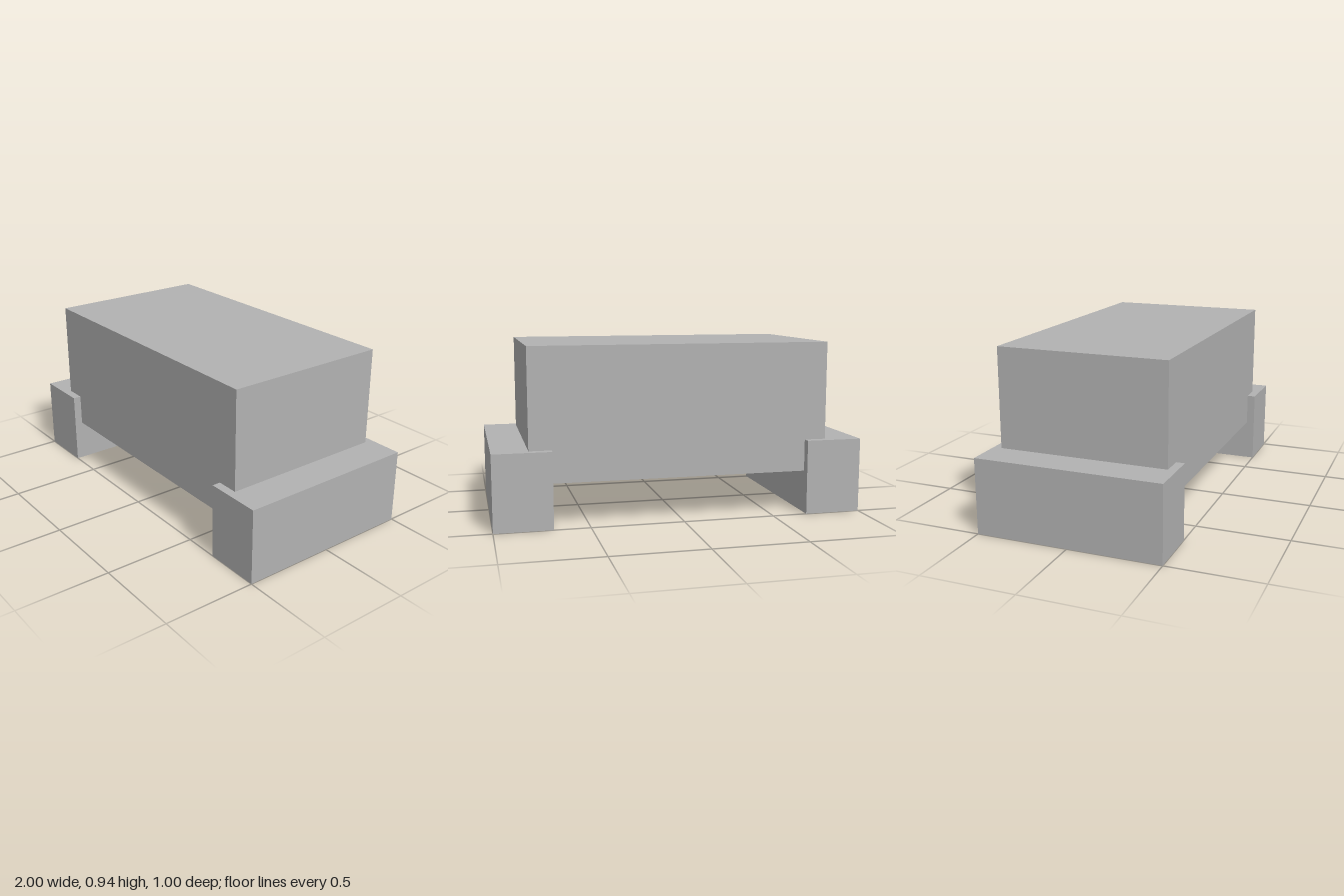
import * as THREE from 'three';

export function createModel() {
  const model = new THREE.Group();
  model.name = 'blockBody';
  const grey = new THREE.MeshStandardMaterial({ color: 0xb2b2b2 });
  grey.name = 'plain grey';

  // Box given by its size, bottom height and x centre
  const addBox = (name, w, h, d, x, bottom) => {
    const mesh = new THREE.Mesh(new THREE.BoxGeometry(w, h, d), grey);
    mesh.name = name;
    mesh.position.set(x, bottom + h / 2, 0);
    model.add(mesh);
  };

  // Main block, raised off the ground
  addBox('body', 1.62, 0.707, 0.91, 0, 0.233);

  // Side supports, running front to back
  for (const [name, side] of [['leftSupport', 1], ['rightSupport', -1]]) {
    addBox(name, 0.308, 0.407, 1, side * 0.846, 0);
  }

  return model;
}
